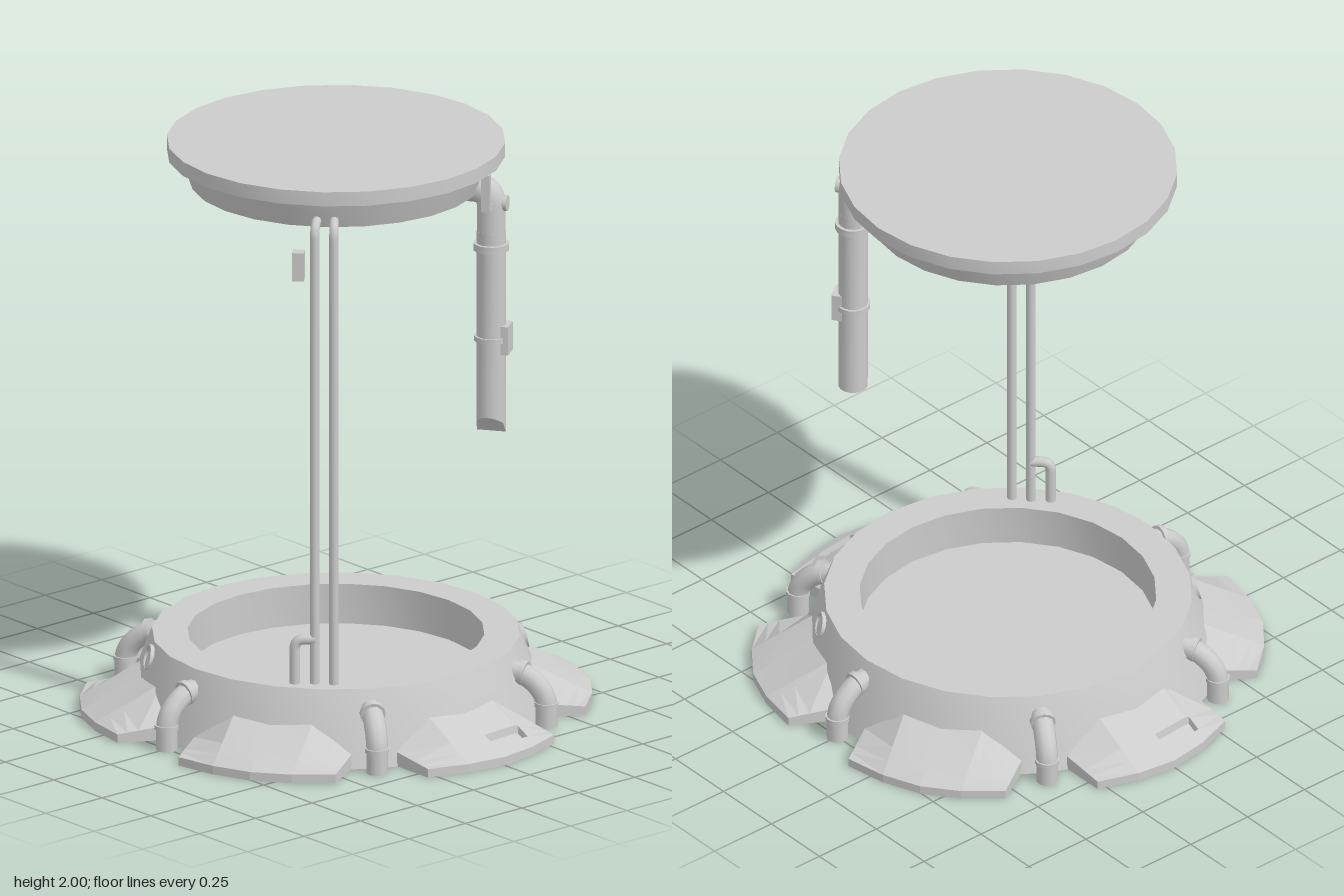
import * as THREE from 'three';
import { toCreasedNormals } from 'three/addons/utils/BufferGeometryUtils.js';

const grey = new THREE.MeshStandardMaterial({ color: 0xcccccc, side: THREE.DoubleSide });
const V = (x, y, z) => new THREE.Vector3(x, y, z);

function add(parent, name, geometry, x = 0, y = 0, z = 0) {
  const mesh = new THREE.Mesh(geometry, grey);
  mesh.name = name;
  mesh.position.set(x, y, z);
  parent.add(mesh);
  return mesh;
}

function lathe(profile, sides = 24) {
  const points = profile.map(([r, y]) => new THREE.Vector2(r, y));
  return toCreasedNormals(new THREE.LatheGeometry(points, sides), 0.45);
}

const cylinder = (rTop, rBottom, h, sides = 12) =>
  toCreasedNormals(new THREE.CylinderGeometry(rTop, rBottom, h, sides), 0.9);

// Tube through straight runs joined by rounded corners
function pipe(points, radius, bend, segments = 24, sides = 10) {
  const path = new THREE.CurvePath();
  let from = points[0];
  for (let i = 1; i < points.length - 1; i++) {
    const corner = points[i];
    const a = corner.clone().add(points[i - 1].clone().sub(corner).setLength(bend));
    const b = corner.clone().add(points[i + 1].clone().sub(corner).setLength(bend));
    path.add(new THREE.LineCurve3(from, a));
    path.add(new THREE.QuadraticBezierCurve3(a, corner, b));
    from = b;
  }
  path.add(new THREE.LineCurve3(from, points[points.length - 1]));
  return new THREE.TubeGeometry(path, segments, radius, sides);
}

// Sloping foot plate with chamfered sides; hasSlot sinks a small slot in it
function footPlate(hasSlot) {
  const columns = [-0.28, -0.28, -0.14, 0, 0.003, 0.02, 0.14, 0.157, 0.16, 0.28, 0.28];
  const rows = [-1, 0, 0.2, 0.22, 0.43, 0.45, 1];
  const positions = [], index = [];
  columns.forEach((x, c) => {
    const ax = Math.abs(x);
    const end = c === 0 || c === columns.length - 1;
    const outerZ = ax < 0.14 ? 0.87 - ax / 7 : 0.85 - (ax - 0.14) * 0.357;
    const innerY = ax < 0.14 ? 0.145 : 0.145 - (ax - 0.14) * 0.68;
    rows.forEach((t) => {
      const u = Math.max(t, 0);
      const sunk = hasSlot && c >= 4 && c <= 7 && t > 0.21 && t < 0.44;
      const y = t < 0 ? 0 : end ? innerY : THREE.MathUtils.lerp(0.03, innerY, u);
      positions.push(x, y - (sunk ? 0.025 : 0), end ? 0.64 : THREE.MathUtils.lerp(outerZ, 0.64, u));
    });
  });
  const n = rows.length;
  for (let c = 0; c < columns.length - 1; c++) {
    for (let r = 0; r < n - 1; r++) {
      const a = c * n + r, b = a + n;
      index.push(a, b, a + 1, b, b + 1, a + 1);
    }
  }
  const geometry = new THREE.BufferGeometry();
  geometry.setAttribute('position', new THREE.Float32BufferAttribute(positions, 3));
  geometry.setIndex(index);
  return toCreasedNormals(geometry, 0.1);
}

function makeBase() {
  const base = new THREE.Group();
  base.name = 'base';
  add(base, 'baseRing', lathe([[0.71, 0], [0.65, 0.18], [0.62, 0.255], [0.5, 0.255], [0.5, 0.05]]));
  add(base, 'baseFloor', cylinder(0.5, 0.5, 0.07, 24), 0, 0.08, 0);

  for (let i = 0; i < 6; i++) {
    const plate = add(base, 'footPlate', footPlate(i % 3 === 0));
    plate.rotation.y = (i * Math.PI) / 3;

    // Bent hose between the foot plates, with two collars
    const hose = new THREE.Group();
    hose.name = 'hose';
    hose.rotation.y = (i * Math.PI) / 3;
    add(hose, 'hosePipe', pipe([V(0.57, 0.185, 0), V(0.67, 0.185, 0), V(0.75, 0.115, 0), V(0.75, 0, 0)], 0.037, 0.05));
    add(hose, 'upperCollar', cylinder(0.043, 0.043, 0.02), 0.665, 0.182, 0).rotation.z = Math.PI / 2 - 0.2;
    add(hose, 'lowerCollar', cylinder(0.041, 0.041, 0.015), 0.75, 0.08, 0);
    base.add(hose);
  }

  // Round dished ports on opposite sides of the ring
  for (const angle of [Math.PI / 6, (7 * Math.PI) / 6]) {
    const port = add(base, 'port', lathe([[0.045, -0.05], [0.045, 0.012], [0.038, 0.012], [0.03, -0.008], [0, -0.012]], 14),
      0.635 * Math.cos(angle), 0.2, 0.635 * Math.sin(angle));
    port.quaternion.setFromUnitVectors(V(0, 1, 0), V(Math.cos(angle), 0.25, Math.sin(angle)).normalize());
  }
  return base;
}

// Twin rods rising from the base and bending into the canopy
function makeSupport() {
  const support = new THREE.Group();
  support.name = 'support';
  for (const [x, z] of [[-0.412, 0.37], [-0.37, 0.42]]) {
    add(support, 'rod', pipe([V(x, 0.22, z), V(x, 1.875, z), V(x * 0.84, 1.875, z * 0.84)], 0.016, 0.045, 90));
  }
  add(support, 'junctionBox', new THREE.BoxGeometry(0.04, 0.1, 0.04), -0.445, 1.73, 0.325).rotation.y = Math.PI / 4;
  add(support, 'sidePipe', pipe([V(-0.462, 0.22, 0.325), V(-0.462, 0.41, 0.325), V(-0.41, 0.41, 0.372)], 0.018, 0.035));
  return support;
}

function makeCanopy() {
  return new THREE.Mesh(lathe([
    [0, 1.95], [0.475, 1.95], [0.475, 1.85], [0.49, 1.85], [0.52, 1.935],
    [0.55, 1.945], [0.57, 1.95], [0.57, 2], [0, 2],
  ]), grey);
}

// Hanging arm; its local +z points away from the centre
function makeArm() {
  const arm = new THREE.Group();
  arm.name = 'hangingArm';
  arm.position.set(0.31, 0, 0.44);
  arm.rotation.y = Math.atan2(0.31, 0.44);

  add(arm, 'armElbow', pipe([V(0, 1.7, 0), V(0, 1.868, 0), V(0, 1.868, -0.09)], 0.05, 0.06, 20, 12));

  // Lower tip is cut on a slant and stepped
  const tube = new THREE.CylinderGeometry(0.05, 0.05, 0.7, 16, 1);
  const p = tube.attributes.position;
  for (let i = 0; i < p.count; i++) {
    const x = p.getX(i);
    if (p.getY(i) < 0) p.setY(i, x < -0.01 ? -0.3 - (x + 0.05) * 0.8 : -0.36);
  }
  add(arm, 'armTube', toCreasedNormals(tube, 0.6), 0, 1.37, 0);

  add(arm, 'armCollar', cylinder(0.061, 0.061, 0.025, 16), 0, 1.665, 0);
  add(arm, 'clampBand', cylinder(0.058, 0.058, 0.018, 16), 0, 1.34, 0);
  add(arm, 'clampBox', new THREE.BoxGeometry(0.07, 0.1, 0.04), 0.005, 1.34, 0.045);
  add(arm, 'armKnob', cylinder(0.027, 0.027, 0.02), 0, 1.82, 0.047).rotation.x = Math.PI / 2;
  add(arm, 'armBracket', new THREE.BoxGeometry(0.02, 0.13, 0.03), -0.075, 1.875, 0);
  add(arm, 'bracketFoot', new THREE.BoxGeometry(0.05, 0.02, 0.03), -0.055, 1.82, 0);
  return arm;
}

export function createModel() {
  const model = new THREE.Group();
  model.name = 'projectorPlatform';
  const canopy = makeCanopy();
  canopy.name = 'canopy';
  model.add(makeBase(), makeSupport(), canopy, makeArm());
  return model;
}
